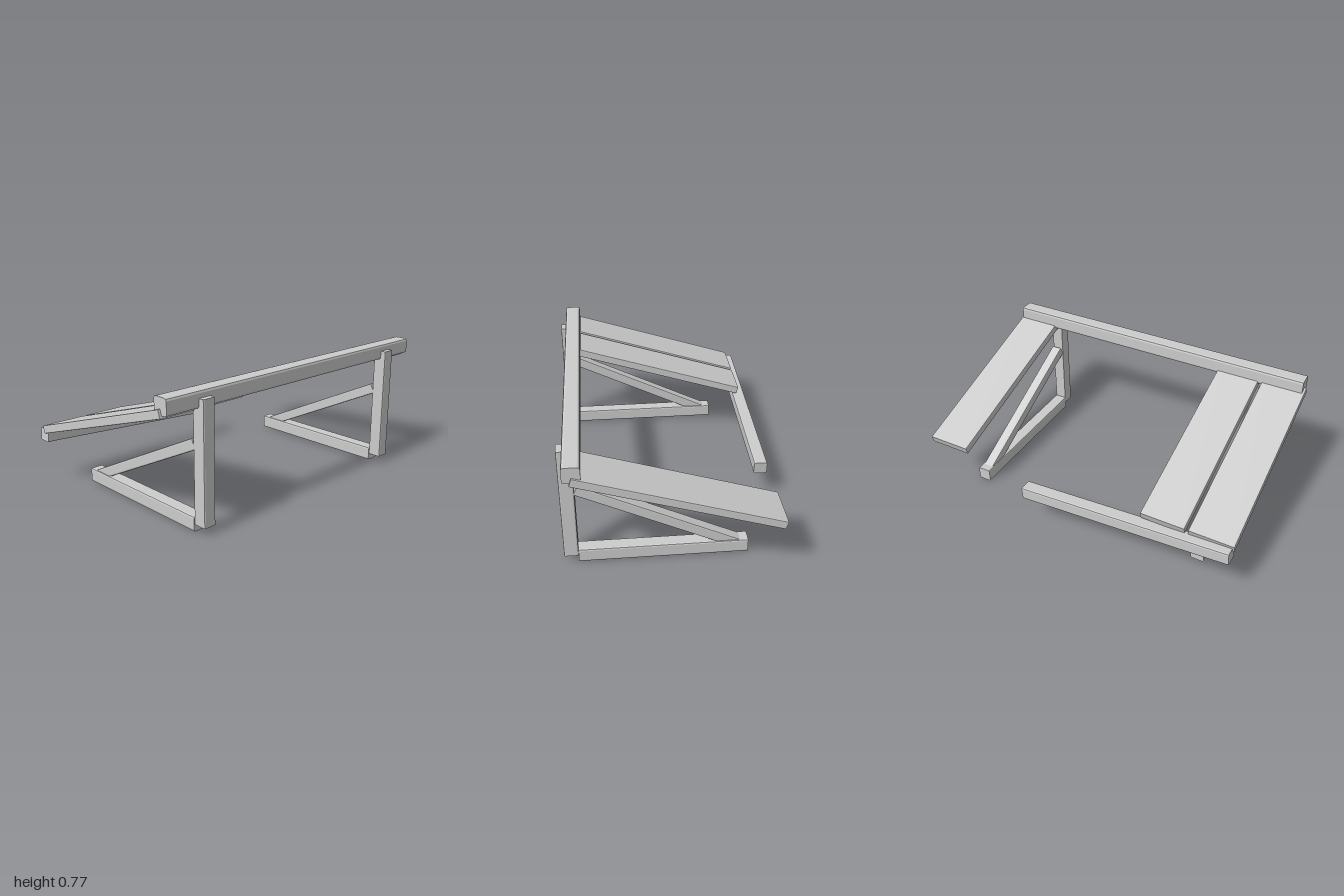
import * as THREE from 'three';

const wood = new THREE.MeshStandardMaterial({ color: 0xcccccc });
wood.name = 'pale grey wood';

// Timber with eased long edges, centred, running along the chosen axis
function timber(name, axis, w, h, length, r, x, y, z) {
  const a = w / 2, b = h / 2;
  const s = new THREE.Shape();
  s.moveTo(-a + r, -b);
  s.lineTo(a - r, -b);
  s.quadraticCurveTo(a, -b, a, -b + r);
  s.lineTo(a, b - r);
  s.quadraticCurveTo(a, b, a - r, b);
  s.lineTo(-a + r, b);
  s.quadraticCurveTo(-a, b, -a, b - r);
  s.lineTo(-a, -b + r);
  s.quadraticCurveTo(-a, -b, -a + r, -b);
  const geo = new THREE.ExtrudeGeometry(s, { depth: length, bevelEnabled: false, curveSegments: 2 });
  geo.translate(0, 0, -length / 2);
  if (axis === 'x') geo.rotateY(Math.PI / 2);
  if (axis === 'y') geo.rotateX(Math.PI / 2);
  const mesh = new THREE.Mesh(geo, wood);
  mesh.name = name;
  mesh.position.set(x, y, z);
  return mesh;
}

export function createModel() {
  const model = new THREE.Group();
  model.name = 'timberFrame';

  // Two triangular end supports
  for (const side of [-1, 1]) {
    const support = new THREE.Group();
    support.name = side < 0 ? 'rightSupport' : 'leftSupport';
    support.position.x = side * 0.746;
    support.add(timber('post', 'y', 0.076, 0.08, 0.685, 0.008, 0, 0.387, 0.57));
    support.add(timber('foot', 'z', 0.08, 0.082, 0.94, 0.01, 0, 0.043, 0.06));
    const brace = timber('brace', 'z', 0.066, 0.062, 0.983, 0.008, 0, 0.266, 0.083);
    brace.rotation.x = -Math.atan(0.484);
    support.add(brace);
    model.add(support);
  }

  // Level beam along the high front edge
  model.add(timber('topBeam', 'x', 0.094, 0.092, 1.97, 0.014, 0, 0.723, 0.531));

  // Sloping boards resting between the beam and the rear rail
  [-0.867, -0.581, 0.863].forEach((x, i) => {
    const board = timber('board' + (i + 1), 'z', 0.264, 0.048, 1.148, 0.006, x, 0.514, -0.01);
    board.rotation.x = -Math.atan(0.315);
    model.add(board);
  });

  // Short rear rail, dropping towards its free end
  const rail = timber('rearRail', 'x', 0.08, 0.077, 1.295, 0.01, -0.343, 0.264, -0.57);
  rail.rotation.z = -0.065;
  model.add(rail);

  return model;
}
